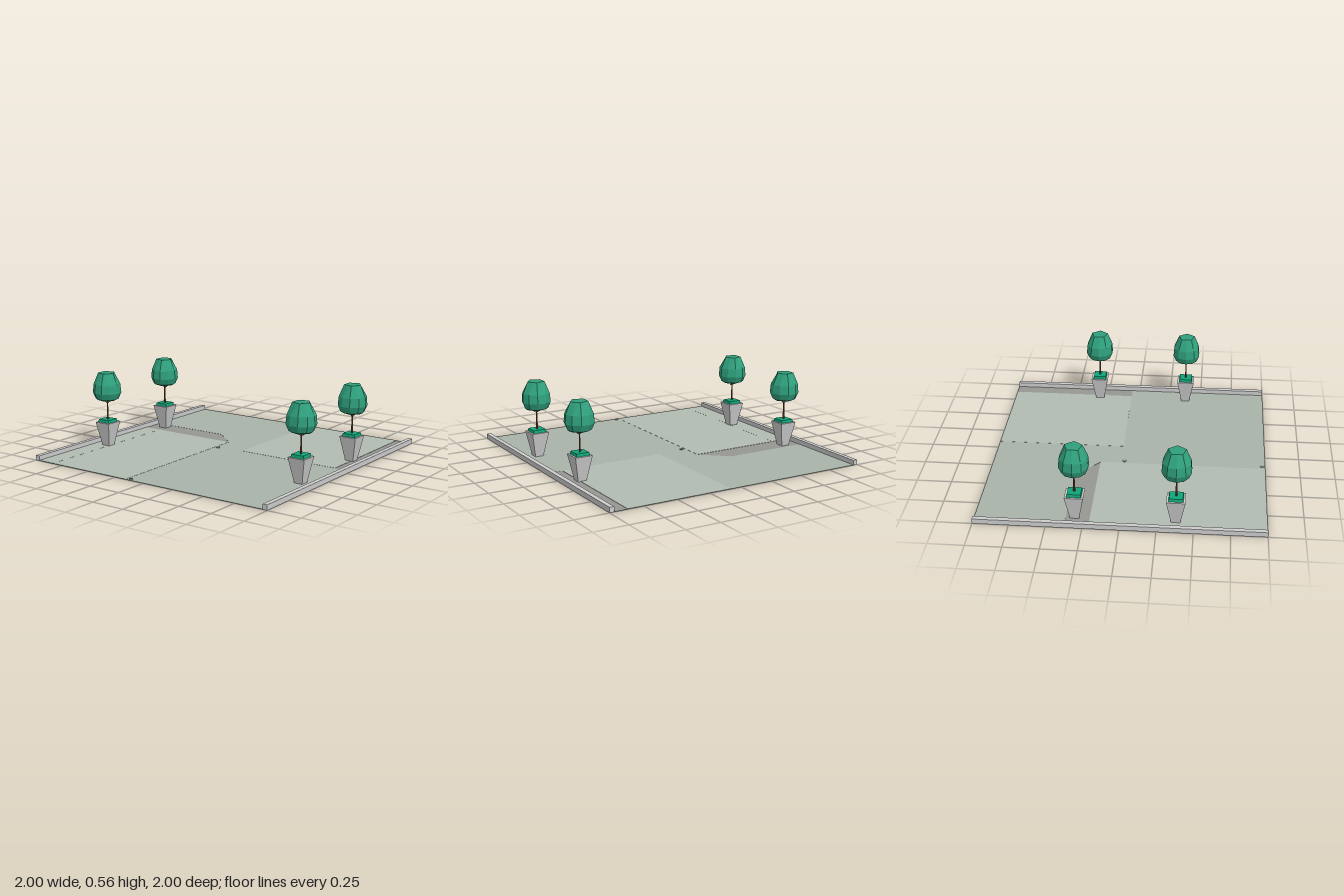
import * as THREE from 'three';

const mat = (color) => new THREE.MeshStandardMaterial({ color, flatShading: true });
const grey = mat(0xcccccc);
const paleFloor = mat(0xb2bcb2);
const darkFloor = mat(0xa8b3a9);
const rampGrey = mat(0x969692);
const leaf = mat(0x2fa07c);
const soilGreen = mat(0x0fa578);
const bark = mat(0x7a4030);

function add(parent, name, geometry, material, x = 0, y = 0, z = 0) {
  const mesh = new THREE.Mesh(geometry, material);
  mesh.name = name;
  mesh.position.set(x, y, z);
  parent.add(mesh);
  return mesh;
}

// Thin floor panel from an outline of [x, z] corners
function panel(parent, name, corners, material, height = 0.004) {
  const shape = new THREE.Shape(corners.map(([x, z]) => new THREE.Vector2(x, -z)));
  const geometry = new THREE.ExtrudeGeometry(shape, { depth: height, bevelEnabled: false });
  geometry.rotateX(-Math.PI / 2);
  return add(parent, name, geometry, material);
}

const rect = (x0, x1, z0, z1) => [[x0, z0], [x1, z0], [x1, z1], [x0, z1]];

// Square tapered block, half widths at top and bottom
function taperedBox(top, bottom, height) {
  const g = new THREE.CylinderGeometry(top * Math.SQRT2, bottom * Math.SQRT2, height, 4);
  return g.rotateY(Math.PI / 4).translate(0, height / 2, 0);
}

// Faceted crown: ten-sided rings closing to flat pentagons at top and bottom
function crownGeometry() {
  const rings = [[0.35, 0.062, true], [0.363, 0.086], [0.41, 0.106], [0.475, 0.1], [0.56, 0.064, true]];
  const n = 10, positions = [0, rings[0][0], 0], index = [];
  for (const [y, r, pentagon] of rings) {
    for (let i = 0; i < n; i++) {
      const a = (i / n) * Math.PI * 2;
      const radius = pentagon && i % 2 ? r * Math.cos(Math.PI / 5) : r;
      positions.push(Math.sin(a) * radius, y, Math.cos(a) * radius);
    }
  }
  positions.push(0, rings[rings.length - 1][0], 0);
  const last = rings.length * n + 1;
  for (let i = 0; i < n; i++) {
    const j = (i + 1) % n;
    index.push(0, 1 + j, 1 + i);
    for (let k = 0; k < rings.length - 1; k++) {
      const a = 1 + k * n + i, b = 1 + k * n + j;
      index.push(a, b, b + n, a, b + n, a + n);
    }
    const top = 1 + (rings.length - 1) * n;
    index.push(top + i, top + j, last);
  }
  const g = new THREE.BufferGeometry();
  g.setAttribute('position', new THREE.Float32BufferAttribute(positions, 3));
  g.setIndex(index);
  g.computeVertexNormals();
  return g;
}

function branch(parent, name, points, radius) {
  const curve = new THREE.CatmullRomCurve3(points.map((p) => new THREE.Vector3(...p)));
  add(parent, name, new THREE.TubeGeometry(curve, 4, radius, 5), bark);
}

function pottedTree(x, z) {
  const tree = new THREE.Group();
  tree.name = 'pottedTree';
  tree.position.set(x, 0, z);
  add(tree, 'pot', taperedBox(0.065, 0.031, 0.184), grey);
  add(tree, 'potPlanting', taperedBox(0.047, 0.051, 0.022), soilGreen, 0, 0.183, 0);
  add(tree, 'trunk', new THREE.CylinderGeometry(0.004, 0.008, 0.17, 6), bark, 0, 0.28, 0);
  for (let i = 0; i < 4; i++) {
    const a = (i * Math.PI) / 2;
    const s = Math.sin(a), c = Math.cos(a);
    branch(tree, 'branch', [[0, 0.325, 0], [c * 0.018, 0.338, s * 0.018], [c * 0.032, 0.365, s * 0.032]], 0.002);
  }
  add(tree, 'crown', crownGeometry(), leaf);
  return tree;
}

export function createModel() {
  const model = new THREE.Group();
  model.name = 'terrace';

  // Floor panels
  panel(model, 'backLeftStrip', rect(-1, 0.21, -0.97, -0.83), paleFloor, 0.0045);
  panel(model, 'backLeftFloor', rect(-1, 0.21, -0.83, -0.155), paleFloor, 0.004);
  panel(model, 'frontLeftFloor',
    [[-1, -0.155], [0.21, -0.155], [0.21, 0.08], [0.06, 0.08], [0.06, 0.97], [-1, 0.97]], darkFloor, 0.003);
  panel(model, 'backRightFloor',
    [[0.375, -0.97], [1, -0.97], [1, 0.08], [0.21, 0.08], [0.21, -0.155], [0.375, -0.34]], darkFloor, 0.003);
  panel(model, 'frontRightFloor', rect(0.06, 1, 0.08, 0.87), paleFloor, 0.004);

  // Grey strips let into the floor
  panel(model, 'backGreyStrip', [[0.21, -0.97], [0.375, -0.97], [0.375, -0.34], [0.21, -0.155]], rampGrey, 0.002);
  panel(model, 'frontGreyStrip', rect(0.06, 1, 0.87, 0.97), rampGrey, 0.002);

  // Curbs along the front and back
  for (const side of [-1, 1]) {
    add(model, 'curb', new THREE.BoxGeometry(2, 0.037, 0.034), grey, 0, 0.0185, side * 0.983);
  }

  // Small floor studs
  for (const x of [-0.977, 0.035]) {
    add(model, 'floorStud', new THREE.CylinderGeometry(0.014, 0.014, 0.008, 10), rampGrey, x, 0.004, -0.125);
  }

  // Four potted trees
  for (const x of [-0.377, 0.313]) {
    for (const z of [-0.855, 0.857]) model.add(pottedTree(x, z));
  }
  return model;
}
